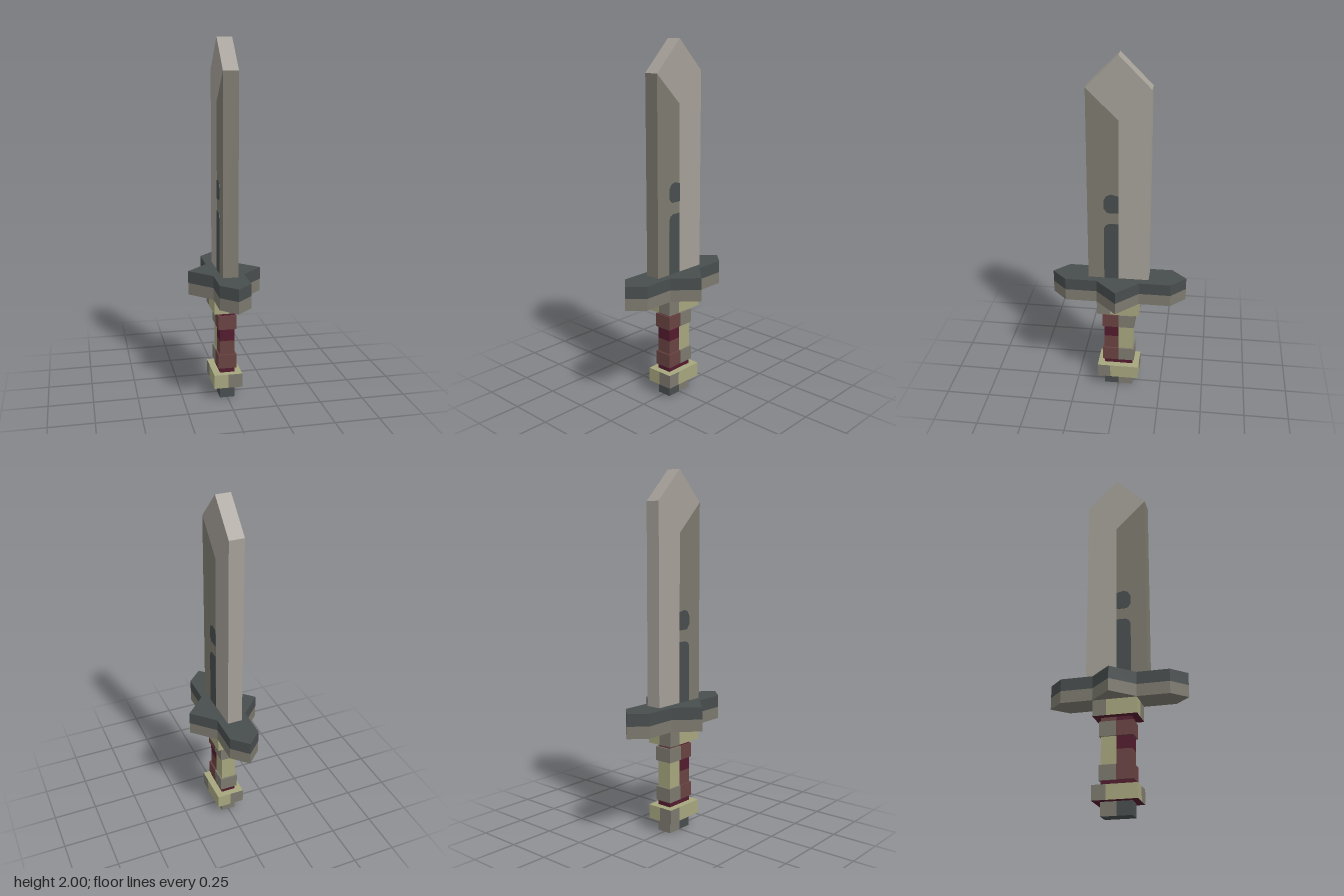
import * as THREE from 'three';

const paint = (name, color) => {
  const m = new THREE.MeshStandardMaterial({ color });
  m.name = name;
  return m;
};

export function createModel() {
  const model = new THREE.Group();
  model.name = 'shortSword';

  const steel = paint('paleSteel', 0xa5a098);
  const gray = paint('warmGray', 0x7c796e);
  const slate = paint('darkSlate', 0x484d4e);
  const olive = paint('paleOlive', 0xa6a57e);
  const brown = paint('redBrown', 0x694342);
  const maroon = paint('darkMaroon', 0x531b2e);

  const add = (name, geometry, material, parent = model) => {
    const mesh = new THREE.Mesh(geometry, material);
    mesh.name = name;
    parent.add(mesh);
    return mesh;
  };

  // Box given by its limits
  const block = (name, [x0, x1], [y0, y1], [z0, z1], material, parent) => {
    const g = new THREE.BoxGeometry(x1 - x0, y1 - y0, z1 - z0);
    g.translate((x0 + x1) / 2, (y0 + y1) / 2, (z0 + z1) / 2);
    return add(name, g, material, parent);
  };

  const shapeOf = (points) => new THREE.Shape(points.map(([a, b]) => new THREE.Vector2(a, b)));

  // Profile in (z, y), given thickness centred on x = 0
  const slab = (name, points, half, material) => {
    const g = new THREE.ExtrudeGeometry(shapeOf(points), { depth: 2 * half, bevelEnabled: false });
    g.translate(0, 0, -half);
    g.rotateY(-Math.PI / 2);
    return add(name, g, material);
  };

  // Blade: pale back half with the tip, darker front half
  const base = 0.73;
  slab('bladePaleHalf',
    [[-0.17, base], [0, base], [0, 1.665], [0.17, 1.83], [0, 2], [-0.17, 1.83]], 0.042, steel);
  slab('bladeDarkHalf',
    [[0, base], [0.17, base], [0.17, 1.83], [0, 1.665]], 0.042, gray);

  // Dark inlays, showing on both faces of the blade
  slab('longInlay',
    [[0, base], [0.08, base], [0.08, 1.045], [0.07, 1.065], [0.05, 1.075], [0, 1.075]], 0.044, slate);
  slab('shortInlay',
    [[0, 1.14], [0.06, 1.14], [0.08, 1.165], [0.08, 1.215], [0.065, 1.24], [0.04, 1.25], [0, 1.24]],
    0.044, slate);

  // Crossguard: one pointed outline in two layers
  const side = [[0, -0.38], [0.085, -0.297], [0.085, -0.12], [0.205, 0], [0.085, 0.12], [0.085, 0.297]];
  const outline = [...side, ...side.map(([x, z]) => [-x, -z])];
  const guardLayer = (name, y0, y1, material) => {
    const g = new THREE.ExtrudeGeometry(shapeOf(outline), { depth: y1 - y0, bevelEnabled: false });
    g.rotateX(-Math.PI / 2);
    g.translate(0, y0, 0);
    add(name, g, material);
  };
  guardLayer('guardLower', 0.6, 0.667, gray);
  guardLayer('guardUpper', 0.667, 0.735, slate);

  // Collars: olive blocks with two opposite gray corners
  const collar = (name, y) => {
    const group = new THREE.Group();
    group.name = name;
    model.add(group);
    const faces = (m) => [m, m, olive, maroon, m, m];
    block('collarMiddle', [-0.08, 0.08], y, [-0.045, 0.045], faces(olive), group);
    for (const turn of [0, Math.PI]) {
      const end = new THREE.Group();
      end.name = 'collarEnd';
      end.rotation.y = turn;
      group.add(end);
      block('grayCorner', [0, 0.08], y, [0.045, 0.12], faces(gray), end);
      block('oliveCorner', [-0.08, 0], y, [0.045, 0.12], faces(olive), end);
    }
  };
  collar('upperCollar', [0.513, 0.6]);
  collar('lowerCollar', [0.073, 0.152]);

  // Pieces split into a front and a back half
  const halves = (name, hx, y, hz, front, back) => {
    block(name + 'Front', [-hx, hx], y, [0, hz], front);
    block(name + 'Back', [-hx, hx], y, [-hz, 0], back);
  };

  // Grip sections from bottom to top
  halves('gripFoot', 0.042, [0.152, 0.18], 0.083, maroon, maroon);
  halves('gripLower', 0.042, [0.26, 0.34], 0.083, brown, olive);
  halves('gripUpper', 0.042, [0.34, 0.41], 0.083, maroon, olive);
  halves('gripTop', 0.042, [0.49, 0.513], 0.083, maroon, brown);

  // Raised rings on the grip
  halves('lowerRing', 0.051, [0.18, 0.26], 0.092, brown, gray);
  halves('upperRing', 0.051, [0.41, 0.49], 0.092, brown, gray);

  // Pommel
  halves('pommel', 0.042, [0, 0.073], 0.083, slate, [gray, gray, gray, slate, gray, gray]);

  return model;
}
